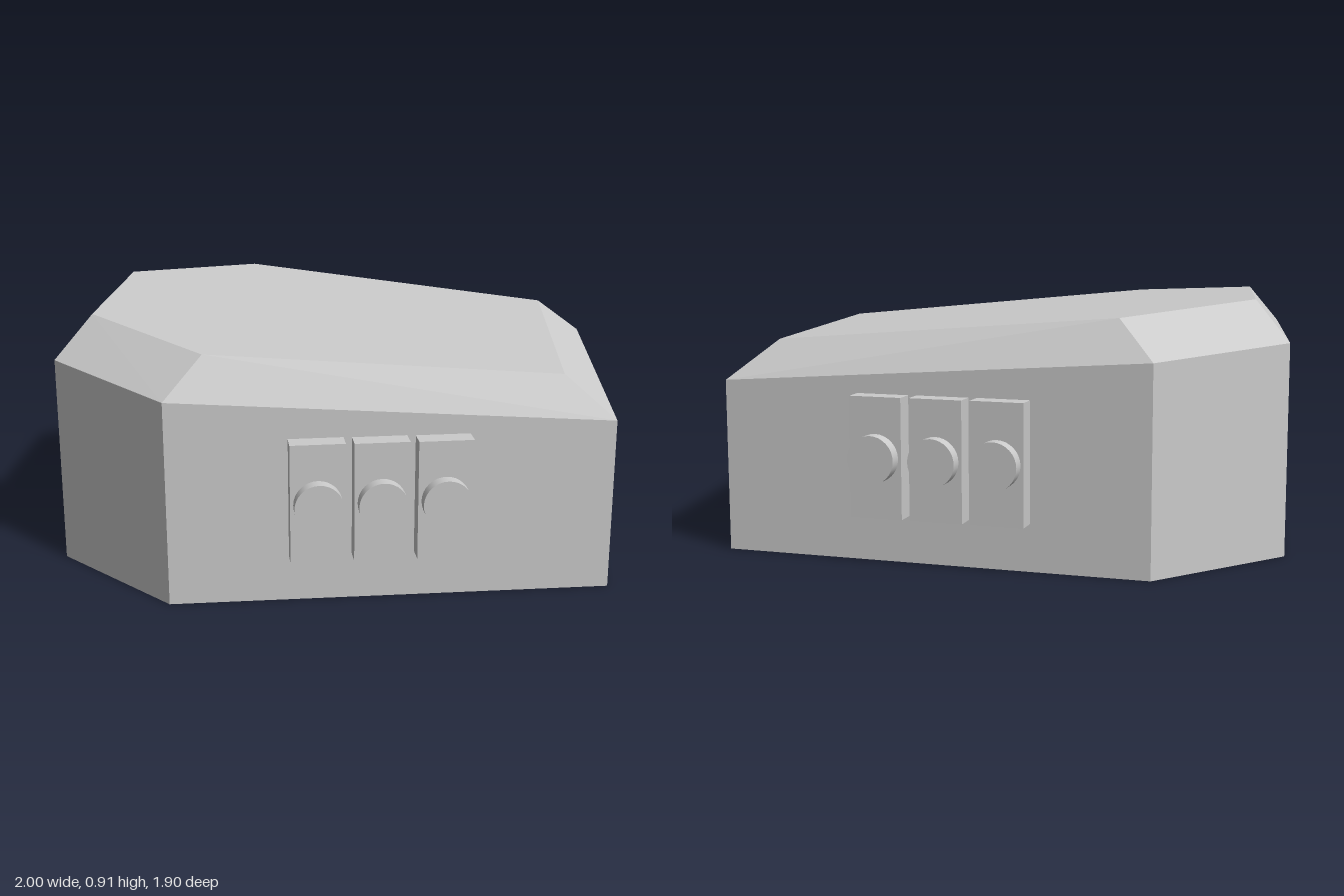
import * as THREE from 'three';

const material = new THREE.MeshStandardMaterial({ color: 0xcccccc, flatShading: true });
const smooth = new THREE.MeshStandardMaterial({ color: 0xcccccc });

// Flat-sided mesh from convex polygons, corners anticlockwise seen from outside
function polygonMesh(name, polygons) {
  const points = [];
  for (const p of polygons) {
    for (let i = 1; i < p.length - 1; i++) points.push(...p[0], ...p[i], ...p[i + 1]);
  }
  const geometry = new THREE.BufferGeometry();
  geometry.setAttribute('position', new THREE.Float32BufferAttribute(points, 3));
  geometry.computeVertexNormals();
  const mesh = new THREE.Mesh(geometry, material);
  mesh.name = name;
  return mesh;
}

// Ring of six corners from the +z half, mirrored to -z
function ring(half) {
  return [...half, ...half.map(([x, y, z]) => [x, y, -z]).reverse()];
}

// Rectangle facing +x
function rectangle(x, y0, y1, z) {
  return [[x, y0, z], [x, y0, -z], [x, y1, -z], [x, y1, z]];
}

// Quads joining two rings, skipping one edge if asked
function band(low, high, skip = -1) {
  const quads = [];
  const n = low.length;
  for (let i = 0; i < n; i++) {
    const j = (i + 1) % n;
    if (i === skip) continue;
    // fold line of the twisted quads always runs to the +x lower corner
    quads.push(low[i][0] < low[j][0]
      ? [low[j], high[j], high[i], low[i]]
      : [low[i], low[j], high[j], high[i]]);
  }
  return quads;
}

// One wall switch: plate with a round knob, facing local +z
function createSwitch() {
  const group = new THREE.Group();
  group.name = 'switch';
  const plate = new THREE.Mesh(new THREE.BoxGeometry(0.19, 0.425, 0.071), material);
  plate.name = 'switchPlate';
  const knob = new THREE.Mesh(new THREE.CylinderGeometry(0.084, 0.084, 0.08, 32), smooth);
  knob.name = 'switchKnob';
  knob.rotation.x = Math.PI / 2;
  knob.position.z = 0.042;
  group.add(plate, knob);
  return group;
}

export function createModel() {
  const model = new THREE.Group();
  model.name = 'housing';

  // Six-sided body with bevelled, sloping roof
  const base = ring([[-1, 0, 0.5], [-0.54, 0, 0.893], [1, 0, 0.652]]);
  const shoulder = ring([[-1, 0.766, 0.5], [-0.54, 0.733, 0.893], [1, 0.622, 0.652]]);
  const roof = ring([[-0.882, 0.91, 0.38], [-0.42, 0.87, 0.775], [0.82, 0.765, 0.575]]);
  model.add(polygonMesh('bodyWalls', [...band(base, shoulder, 2), [...base].reverse()]));
  model.add(polygonMesh('roof', [...band(shoulder, roof), roof]));

  // End wall with a deep rectangular opening
  const frame = rectangle(1, 0, 0.622, 0.652);
  const mouth = rectangle(1, 0.095, 0.533, 0.577);
  const recessEnd = rectangle(0.613, 0.095, 0.533, 0.577);
  model.add(polygonMesh('openingFrame', band(frame, mouth)));
  model.add(polygonMesh('openingRecess', [...band(mouth, recessEnd), recessEnd]));

  // Three switches on each long side
  const tilt = THREE.MathUtils.degToRad(9.8);
  for (const side of [1, -1]) {
    for (let i = 0; i < 3; i++) {
      const unit = createSwitch();
      unit.position.set(-0.027 + 0.216 * i, 0.383, side * (0.856 - 0.033 * i));
      unit.rotation.y = side > 0 ? tilt : Math.PI - tilt;
      model.add(unit);
    }
  }
  return model;
}
